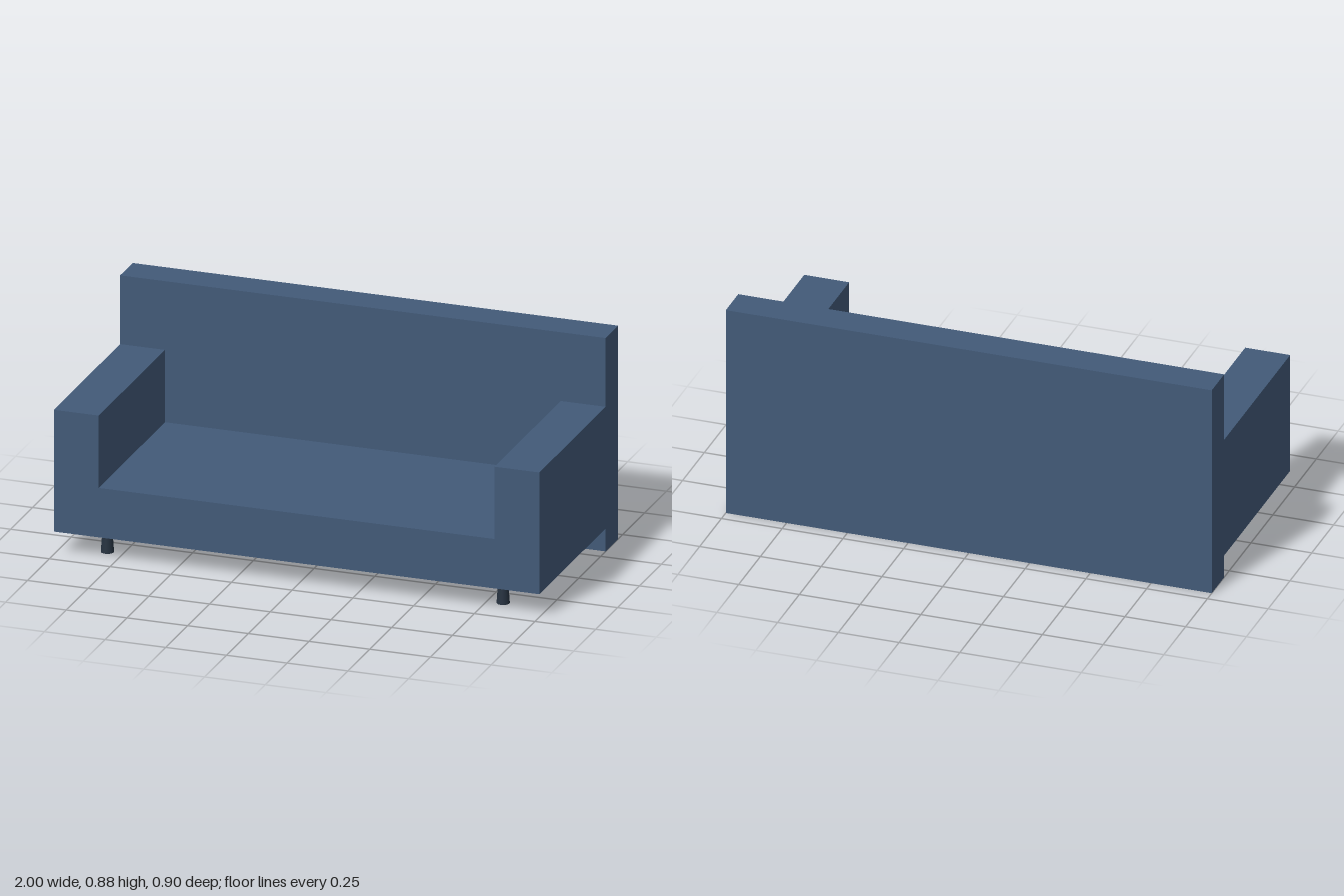
import * as THREE from 'three';

const fabric = new THREE.MeshStandardMaterial({ color: 0x425a78 });
const dark = new THREE.MeshStandardMaterial({ color: 0x263240 });

export function createModel() {
  const sofa = new THREE.Group();
  sofa.name = 'sofa';
  const add = (name, geometry, material, x, y, z) => {
    const mesh = new THREE.Mesh(geometry, material);
    mesh.name = name;
    mesh.position.set(x, y, z);
    sofa.add(mesh);
  };

  const bottom = 0.095, seat = 0.3, armTop = 0.6, armInner = 0.815;
  const front = 0.45, backFront = -0.307, backTop = 0.885;

  // Seat and both arms: one U-shaped section run from front to back
  const section = new THREE.Shape([
    [-1, bottom], [1, bottom], [1, armTop], [armInner, armTop],
    [armInner, seat], [-armInner, seat], [-armInner, armTop], [-1, armTop],
  ].map(([x, y]) => new THREE.Vector2(x, y)));
  const body = new THREE.ExtrudeGeometry(section, { depth: front - backFront, bevelEnabled: false });
  add('seatAndArms', body, fabric, 0, 0, backFront);

  // Backrest slab reaching the floor
  const thickness = backFront + front;
  add('backrest', new THREE.BoxGeometry(2, backTop, thickness), fabric, 0, backTop / 2, -front + thickness / 2);

  // Legs flare slightly toward the floor; the rear pair sits inside the backrest
  const leg = new THREE.CylinderGeometry(0.019, 0.026, bottom, 24);
  for (const [side, x] of [['Left', armInner], ['Right', -armInner]]) {
    add(`front${side}Leg`, leg, dark, x, bottom / 2, 0.35);
    add(`rear${side}Leg`, leg, dark, x, bottom / 2, -0.35);
  }
  return sofa;
}
